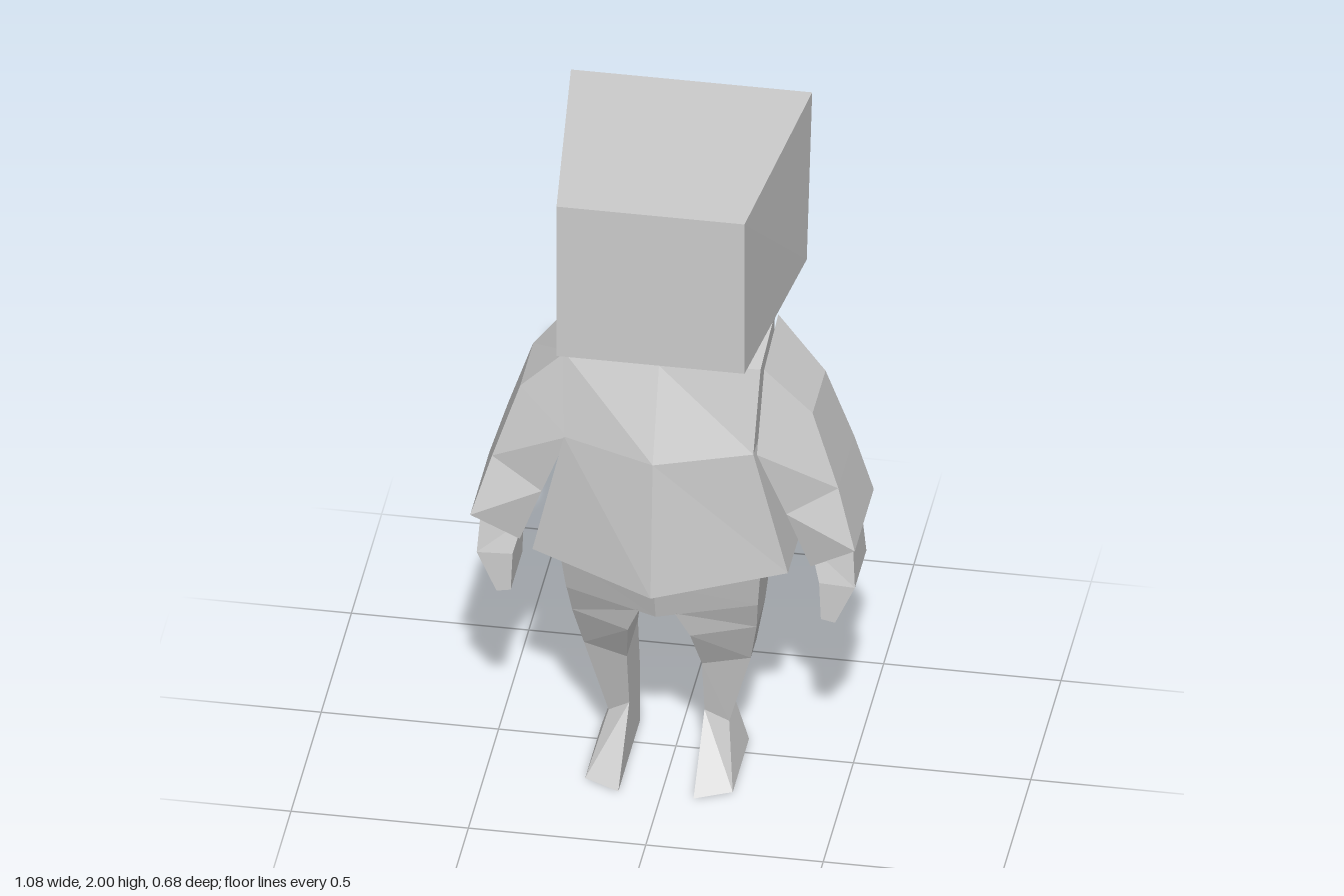
import * as THREE from 'three';

const material = new THREE.MeshStandardMaterial({ color: 0xcccccc, flatShading: true });

// Faceted, capped loft through rings of equal corner count; faces are turned outward.
function loft(name, rings) {
  const n = rings[0].length;
  const tris = [];
  for (let r = 0; r < rings.length - 1; r++) {
    for (let i = 0; i < n; i++) {
      const j = (i + 1) % n;
      const [a, b, c, d] = [rings[r][i], rings[r][j], rings[r + 1][j], rings[r + 1][i]];
      tris.push([a, b, c], [a, c, d]);
    }
  }
  const first = rings[0], last = rings[rings.length - 1];
  for (let i = 1; i < n - 1; i++) {
    tris.push([first[0], first[i + 1], first[i]], [last[0], last[i], last[i + 1]]);
  }

  const vec = (p) => new THREE.Vector3(...p);
  let volume = 0;
  const solid = tris.filter((t) => {
    const [a, b, c] = t.map(vec);
    volume += a.dot(b.clone().cross(c));
    return b.sub(a).cross(c.sub(a)).length() > 1e-7;
  });
  const points = solid.flatMap((t) => (volume < 0 ? [t[0], t[2], t[1]] : t)).map(vec);
  const geometry = new THREE.BufferGeometry().setFromPoints(points);
  geometry.computeVertexNormals();
  const mesh = new THREE.Mesh(geometry, material);
  mesh.name = name;
  return mesh;
}

// Six-cornered symmetric ring: centre front, side front, side back, centre back.
function hexRing([yf, zf], [x, ysf, zsf], [ysb, zsb], [yb, zb]) {
  return [[0, yf, zf], [x, ysf, zsf], [x, ysb, zsb],
    [0, yb, zb], [-x, ysb, zsb], [-x, ysf, zsf]];
}

// Four-cornered limb ring: outer front, outer back, inner back, inner front.
function limbRing([xo, yo, zof, zob], [xi, yi, zif, zib]) {
  return [[xo, yo, zof], [xo, yo, zob], [xi, yi, zib], [xi, yi, zif]];
}

const mirrorRings = (rings, side) => rings.map((r) => r.map(([x, y, z]) => [x * side, y, z]));

export function createModel() {
  const model = new THREE.Group();
  model.name = 'figure';

  const body = new THREE.Group();
  body.name = 'body';
  body.position.x = -0.014;
  model.add(body);

  // Block head, wider at the back, its back face leaning in toward the bottom
  const headRing = (y, back) => [[0.265, y, 0.34], [0.34, y, back], [-0.34, y, back], [-0.265, y, 0.34]];
  body.add(loft('head', [headRing(2, -0.34), headRing(1.5, -0.25)]));

  // Flared tunic
  body.add(loft('tunic', [
    hexRing([1.405, 0.2], [0.278, 1.39, 0.15], [1.42, -0.085], [1.435, -0.165]),
    hexRing([1.14, 0.305], [0.267, 1.14, 0.205], [1.13, -0.14], [1.11, -0.18]),
    hexRing([0.717, 0.34], [0.36, 0.737, 0.18], [0.737, -0.11], [0.73, -0.23]),
  ]));

  // Hips
  body.add(loft('hips', [
    hexRing([0.73, 0.29], [0.283, 0.735, 0.18], [0.735, -0.1], [0.73, -0.18]),
    hexRing([0.6, 0.255], [0.27, 0.6, 0.15], [0.6, -0.06], [0.61, -0.11]),
  ]));

  // Shoulder corners start at the neckline and share the armpit with the sleeve
  const armpit = [0.267, 1.14, 0.205, -0.14];
  const shoulder = limbRing([0.278, 1.39, 0.15, -0.085], armpit);
  shoulder[1][1] = 1.42;
  const sleeve = [
    shoulder,
    limbRing([0.412, 1.25, 0.135, -0.08], armpit),
    limbRing([0.488, 1.02, 0.155, -0.11], [0.345, 0.93, 0.175, -0.095]),
    limbRing([0.542, 0.845, 0.2, -0.115], [0.41, 0.75, 0.155, -0.11]),
  ];

  const hand = [
    limbRing([0.522, 0.85, 0.12, -0.02], [0.405, 0.79, 0.12, -0.02]),
    limbRing([0.533, 0.685, 0.145, -0.045], [0.432, 0.69, 0.145, -0.045]),
    limbRing([0.477, 0.562, 0.145, -0.045], [0.437, 0.57, 0.145, -0.045]),
  ];

  // Thigh, knee, ankle and sole
  const leg = [
    limbRing([0.27, 0.605, 0.15, -0.06], [0.05, 0.605, 0.237, -0.1]),
    limbRing([0.26, 0.5, 0.11, -0.03], [0.088, 0.51, 0.2, -0.07]),
    limbRing([0.235, 0.36, 0.06, -0.035], [0.106, 0.36, 0.11, -0.075]),
    limbRing([0.17, 0.125, 0.035, -0.07], [0.106, 0.178, 0.068, -0.11]),
    limbRing([0.208, 0, 0.2, -0.07], [0.106, 0, 0.25, -0.11]),
  ];

  const arms = new THREE.Group();
  arms.name = 'arms';
  arms.position.x = -0.004;
  model.add(arms);
  for (const [label, side] of [['left', 1], ['right', -1]]) {
    arms.add(loft(label + 'Sleeve', mirrorRings(sleeve, side)));
    arms.add(loft(label + 'Hand', mirrorRings(hand, side)));
    body.add(loft(label + 'Leg', mirrorRings(leg, side)));
  }
  return model;
}
